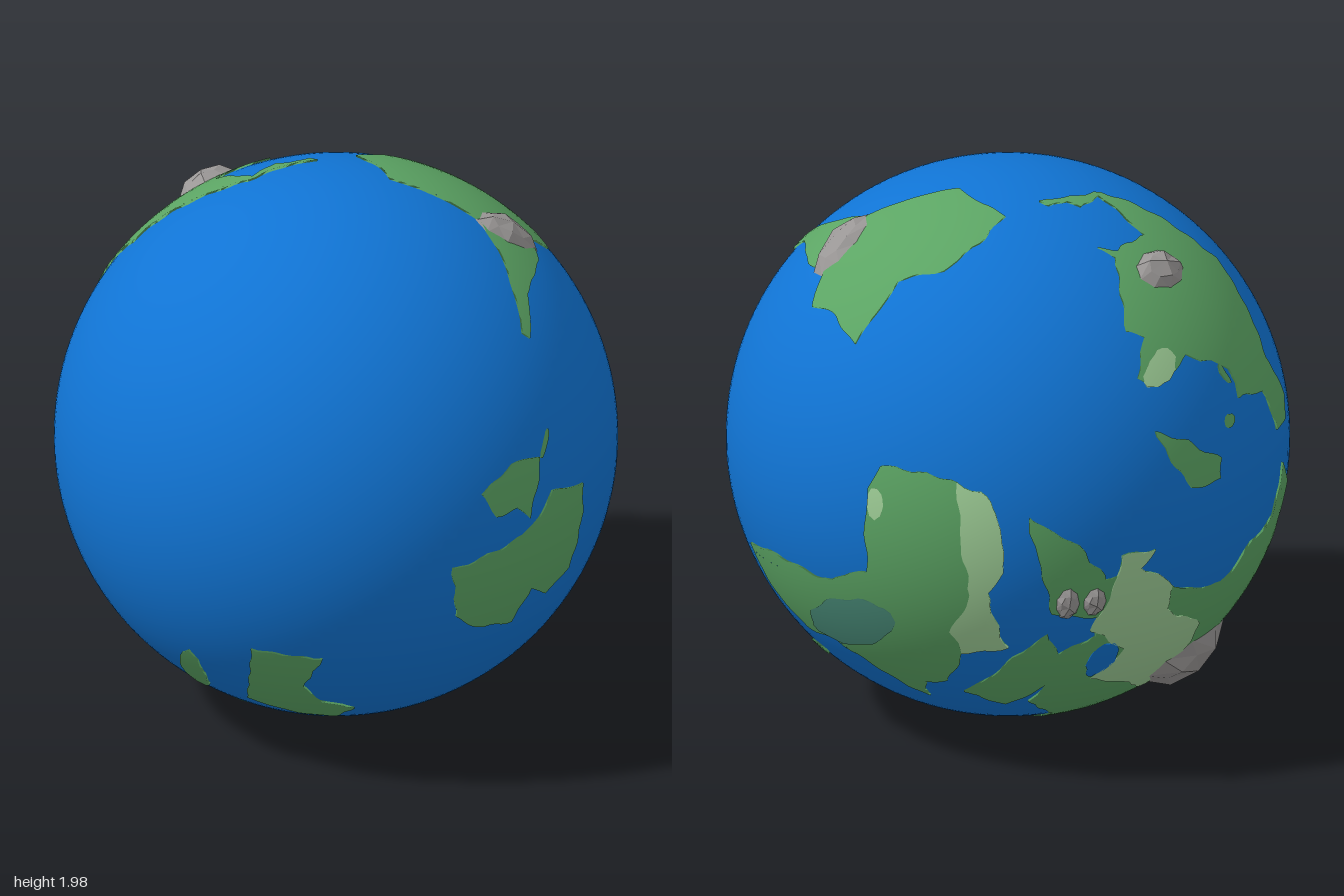
import * as THREE from 'three';

const OCEAN_R = 0.992, LAND_R = 0.999, TINT_R = 1.002;
const mat = (name, color) => Object.assign(new THREE.MeshStandardMaterial({ color }), { name });

// Flat drawing discs: centre, radius, and the heading and tilt each one faces
const disc = (cx, cy, r, heading, tilt) => {
  const turn = new THREE.Euler(-THREE.MathUtils.degToRad(tilt), THREE.MathUtils.degToRad(heading), 0, 'YXZ');
  return (px, py) => {
    const u = (px - cx) / r, v = (cy - py) / r;
    return new THREE.Vector3(u, v, Math.sqrt(Math.max(0, 1 - u * u - v * v))).normalize().applyEuler(turn);
  };
};
const south = disc(238, 224, 186, 0, 0);
const east = disc(687, 224, 186, 90, 0);
const west = disc(1134.5, 224, 186.5, 0, 90);
const arctic = disc(685.5, 671.5, 172, 215, 25);
const asia = disc(1134.5, 672, 172, 140, -30);
// Longitude and latitude, with the north pole at -z
const lonLat = (lon, lat) => {
  const a = THREE.MathUtils.degToRad(lon), b = THREE.MathUtils.degToRad(lat);
  return new THREE.Vector3(Math.cos(b) * Math.cos(a), -Math.cos(b) * Math.sin(a), -Math.sin(b));
};

// Turns x, y pairs on a disc into directions on the globe
const trace = (on, pts) => pts.flatMap((x, i) => (i % 2 ? [] : [on(x, pts[i + 1])]));

// An oval outline on a disc
const oval = (on, x, y, w, h, degrees, sides = 9) => Array.from({ length: sides }, (_, i) => {
  const a = i / sides * Math.PI * 2, t = THREE.MathUtils.degToRad(degrees);
  const u = w * Math.cos(a), v = h * Math.sin(a);
  return on(x + u * Math.cos(t) - v * Math.sin(t), y + u * Math.sin(t) + v * Math.cos(t));
});

// Ragged coast: a ripple that depends only on place, so shared borders still meet
const ragged = p => new THREE.Vector3(
  p.x + 0.006 * Math.sin(53 * p.y + 31 * p.z),
  p.y + 0.006 * Math.sin(47 * p.z + 37 * p.x),
  p.z + 0.006 * Math.sin(59 * p.x + 29 * p.y)).normalize();

// Splits the longest edge until the triangle follows the curve of the globe
function refine(a, b, c, out) {
  const ab = a.distanceTo(b), bc = b.distanceTo(c), ca = c.distanceTo(a);
  const longest = Math.max(ab, bc, ca);
  if (longest < 0.06) { out.push(a, b, c); return; }
  if (longest === bc) return refine(b, c, a, out);
  if (longest === ca) return refine(c, a, b, out);
  const mid = a.clone().add(b).normalize();
  refine(a, mid, c, out);
  refine(mid, b, c, out);
}

const facesOut = (a, b, c) => b.clone().sub(a).cross(c.clone().sub(a)).dot(a) > 0;

// A curved plate with a short rim that drops into the surface below
function plate(name, material, corners, top) {
  const ring = [];
  corners.forEach((p, i) => {
    const q = corners[(i + 1) % corners.length], n = Math.ceil(p.distanceTo(q) / 0.03);
    for (let k = 0; k < n; k++) ring.push(ragged(p.clone().lerp(q, k / n).normalize()));
  });
  const axis = ring.reduce((s, p) => s.add(p), new THREE.Vector3()).normalize();
  const turn = new THREE.Quaternion().setFromUnitVectors(axis, new THREE.Vector3(0, 0, 1));
  const flatten = p => {
    const q = p.clone().applyQuaternion(turn);
    return new THREE.Vector2(q.x, q.y).setLength(Math.acos(Math.min(1, q.z)));
  };
  if (THREE.ShapeUtils.isClockWise(ring.map(flatten))) ring.reverse();
  const tris = [];
  for (const face of THREE.ShapeUtils.triangulateShape(ring.map(flatten), [])) {
    const [a, b, c] = face.map(i => ring[i]);
    if (facesOut(a, b, c)) refine(a, b, c, tris); else refine(a, c, b, tris);
  }
  const pos = [], nor = [];
  const put = (p, r) => { pos.push(p.x * r, p.y * r, p.z * r); nor.push(p.x, p.y, p.z); };
  tris.forEach(p => put(p, top));
  const low = top - 0.009;
  ring.forEach((a, i) => {
    const b = ring[(i + 1) % ring.length];
    put(a, low); put(b, low); put(b, top);
    put(a, low); put(b, top); put(a, top);
  });
  const geo = new THREE.BufferGeometry();
  geo.setAttribute('position', new THREE.Float32BufferAttribute(pos, 3));
  geo.setAttribute('normal', new THREE.Float32BufferAttribute(nor, 3));
  const mesh = new THREE.Mesh(geo, material);
  mesh.name = name;
  return mesh;
}

// A faceted peak: base ring, uneven shoulder ring, summit
function mountain(name, material, height, on, x, y, w, h, degrees) {
  const base = oval(on, x, y, w, h, degrees), peak = on(x, y);
  const foot = base.map(p => p.clone().multiplyScalar(0.994));
  const shoulder = base.map((p, i) => p.clone().lerp(peak, 0.4).normalize()
    .multiplyScalar(1 + (height - 1) * (i % 2 ? 0.75 : 0.5)));
  const summit = peak.clone().multiplyScalar(height);
  const pts = [];
  const tri = (a, b, c) => pts.push(...(facesOut(a, b, c) ? [a, b, c] : [a, c, b]));
  foot.forEach((p, i) => {
    const j = (i + 1) % foot.length;
    tri(p, foot[j], shoulder[j]);
    tri(p, shoulder[j], shoulder[i]);
    tri(shoulder[i], shoulder[j], summit);
  });
  const geo = new THREE.BufferGeometry().setFromPoints(pts);
  geo.computeVertexNormals();
  const mesh = new THREE.Mesh(geo, material);
  mesh.name = name;
  return mesh;
}

export function createModel() {
  const globe = new THREE.Group();
  globe.name = 'globe';
  const water = mat('oceanBlue', 0x1074d4), green = mat('landGreen', 0x5ca564);
  const pale = mat('dryPaleGreen', 0xa0d098), teal = mat('rainforestTeal', 0x4a8d7a), grey = mat('rockGrey', 0x9a9796);

  const ocean = new THREE.Mesh(new THREE.SphereGeometry(OCEAN_R, 128, 80), water);
  ocean.name = 'ocean';
  globe.add(ocean);

  // Coasts shared by the land and its dry regions
  const saharaCoast = trace(east, [764, 185, 778, 190, 789, 203, 793, 245, 781, 262, 783, 306, 757, 312]);
  const nordicCoast = trace(asia, [1160, 612, 1163, 600, 1184, 603, 1176, 611, 1198, 632]);

  // Continents
  const land = {
    africa: [...saharaCoast, ...trace(east, [735, 342, 718, 345, 711, 362, 685, 340, 660, 325, 628, 325, 597, 301, 583, 276,
      622, 268, 672, 271, 690, 260, 704, 257, 704, 197, 713, 179, 752, 181])],
    southAmerica: trace(west, [1180, 194, 1210, 194, 1236, 204, 1250, 230, 1284, 240, 1271, 266, 1262, 290, 1240, 298,
      1228, 318, 1193, 345, 1176, 369, 1170, 366, 1193, 318, 1199, 290, 1182, 262, 1169, 238, 1178, 215]),
    northAmerica: [
      ...trace(west, [1176, 85, 1185, 92, 1153, 125, 1158, 134, 1148, 127, 1116, 128, 1112, 166, 1135, 164, 1140, 174,
        1153, 178, 1152, 185, 1128, 173, 1107, 169, 1087, 145, 1068, 118, 1058, 110, 1064, 70]),
      ...trace(arctic, [653, 680, 667, 710, 657, 721, 638, 720, 632, 690, 606, 679, 610, 660, 590, 635, 566, 636, 562, 625])],
    eurasia: [
      ...trace(asia, [1103, 573, 1114, 579, 1135, 590, 1153, 614]), ...nordicCoast,
      ...trace(arctic, [562, 763, 588, 778, 607, 768, 632, 768, 645, 742, 663, 762, 652, 778, 672, 803, 688, 806]),
      ...trace(asia, [1282, 722, 1262, 757, 1238, 786, 1206, 800, 1198, 814, 1185, 785, 1160, 783, 1136, 794, 1139, 755,
        1118, 725, 1124, 702, 1104, 731, 1078, 717, 1101, 673, 1119, 651, 1127, 668, 1148, 656, 1150, 641, 1120, 634, 1113, 610])],
    australia: trace(south, [89, 301, 118, 304, 122, 335, 140, 352, 163, 362, 167, 378, 148, 374, 119, 360, 99, 328]),
    antarcticaEast: trace(south, [180, 238, 235, 228, 263, 206, 295, 213, 294, 240, 286, 275, 265, 284, 247, 274,
      236, 297, 212, 293, 187, 278]),
    antarcticaWest: trace(south, [202, 190, 230, 176, 255, 178, 247, 198, 239, 217, 230, 207, 213, 207]),
    greenland: trace(arctic, [551, 657, 560, 672, 577, 700, 574, 711, 557, 703, 551, 675]),
    // Islands
    antarcticPeninsula: oval(south, 261, 172, 9, 2, -60),
    madagascar: oval(east, 622, 349, 11, 4, 5),
    japan: oval(lonLat, 138, 36, 8, 2, 45),
    sumatra: oval(lonLat, 101, 0, 7, 2, -45),
    borneo: oval(lonLat, 114, 2, 5, 5, 0),
    newGuinea: oval(lonLat, 140, -5, 10, 3, -25),
    philippines: oval(lonLat, 122, 13, 2, 6, 0),
    arcticIslandNorth: oval(arctic, 591, 684, 4, 4, 0),
    arcticIslandSouth: oval(arctic, 604, 660, 2, 7, 0),
  };
  for (const [name, outline] of Object.entries(land)) globe.add(plate(name, green, outline, LAND_R));

  // Dry regions, rainforest and inland sea laid over the land
  const tints = [
    ['northDesert', pale, [...saharaCoast, ...trace(east, [754, 295, 772, 262, 768, 222])]],
    ['steppe', pale, [...nordicCoast, ...trace(asia, [1195, 650, 1222, 682, 1220, 703, 1200, 730, 1216, 757, 1195, 746,
      1175, 715, 1152, 700, 1170, 674, 1146, 650])]],
    ['guineaCoast', pale, oval(east, 710, 205, 6, 11, 0)],
    ['labradorCoast', pale, oval(arctic, 573, 629, 12, 8, -30)],
    ['rainforest', teal, oval(east, 679, 302, 41, 18, -22, 18)],
    ['inlandSea', water, oval(asia, 1156, 680, 9, 17, 20)],
  ];
  for (const [name, material, outline] of tints) globe.add(plate(name, material, outline, TINT_R));

  // Mountain ranges
  globe.add(
    mountain('asianMountains', grey, 1.07, asia, 1224, 734, 32, 27, 30),
    mountain('northAmericanMountains', grey, 1.045, west, 1128, 106, 23, 12, 0),
    mountain('southAmericanMountains', grey, 1.035, west, 1220, 297, 24, 16, 0),
    mountain('europeanMountainsWest', grey, 1.025, asia, 1129, 627, 8, 12, 0),
    mountain('europeanMountainsEast', grey, 1.025, asia, 1146, 628, 8, 11, 0),
  );

  globe.position.y = 0.998;
  const model = new THREE.Group();
  model.name = 'worldGlobe';
  model.add(globe);
  return model;
}
